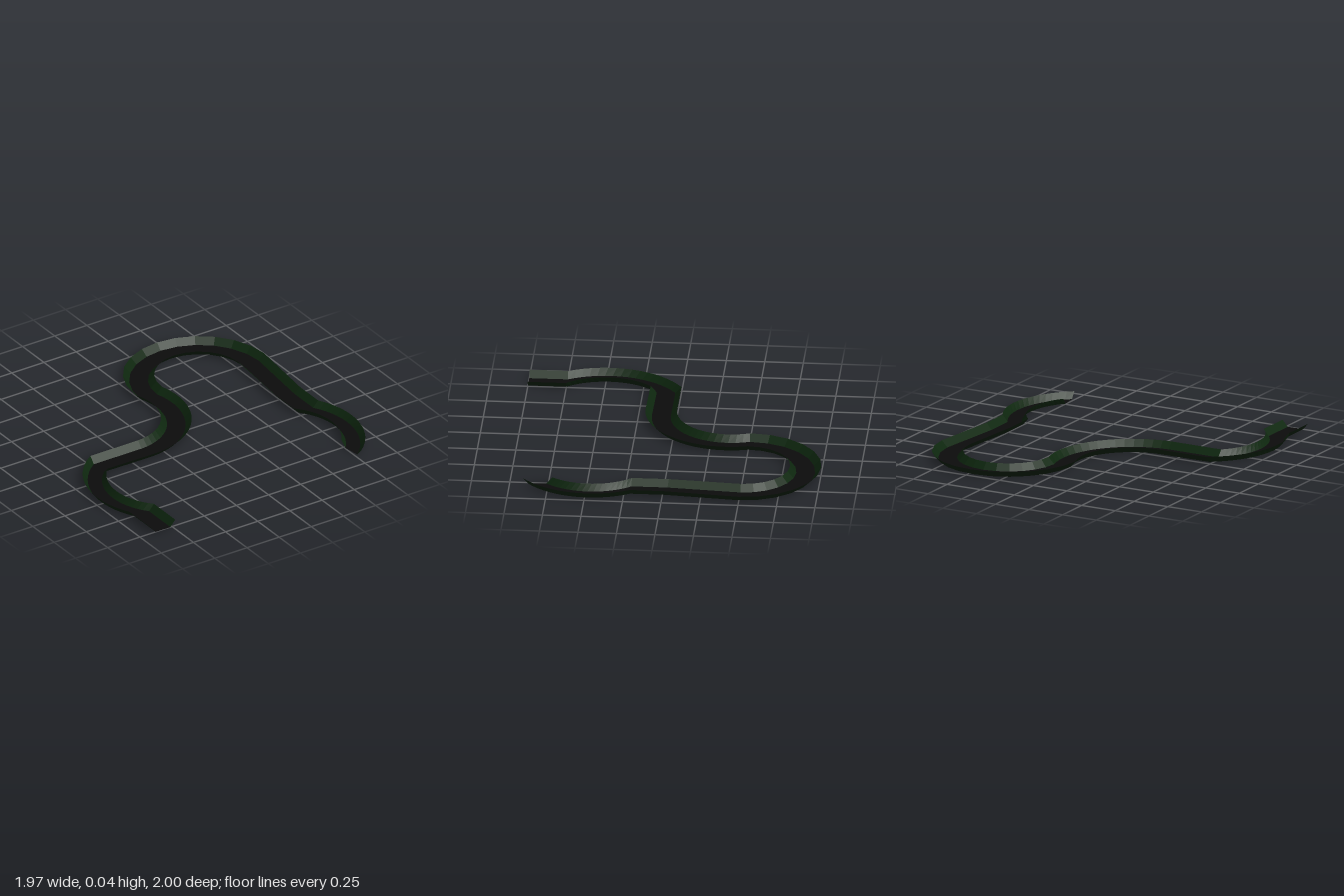
import * as THREE from 'three';

const HEIGHT = 0.043;
const INSET = 0.2; // share of the width taken by each sloping wall

const floorMat = new THREE.MeshStandardMaterial({ color: 0x0c0c0c, side: THREE.DoubleSide, flatShading: true });
const wallMat = new THREE.MeshStandardMaterial({ color: 0x0d260e, side: THREE.DoubleSide, flatShading: true });

// Points [x, z] on the circle arc from a through m to b
function arc(a, m, b, n) {
  const d = 2 * (a[0] * (m[1] - b[1]) + m[0] * (b[1] - a[1]) + b[0] * (a[1] - m[1]));
  const q = (p) => p[0] * p[0] + p[1] * p[1];
  const cx = (q(a) * (m[1] - b[1]) + q(m) * (b[1] - a[1]) + q(b) * (a[1] - m[1])) / d;
  const cz = (q(a) * (b[0] - m[0]) + q(m) * (a[0] - b[0]) + q(b) * (m[0] - a[0])) / d;
  const angle = (p) => Math.atan2(p[1] - cz, p[0] - cx);
  const turn = (t) => (t + 4 * Math.PI) % (2 * Math.PI);
  const start = angle(a), r = Math.hypot(a[0] - cx, a[1] - cz);
  let sweep = turn(angle(b) - start);
  if (turn(angle(m) - start) > sweep) sweep -= 2 * Math.PI;
  return Array.from({ length: n + 1 }, (_, i) => {
    const t = start + (sweep * i) / n;
    return [cx + r * Math.cos(t), cz + r * Math.sin(t)];
  });
}

// Strip of quads between two rails of [x, y, z] points, facing up
function strip(left, right, material, name) {
  const pos = [], index = [];
  left.forEach((p, i) => {
    pos.push(...p, ...right[i]);
    if (i) {
      const k = 2 * i;
      index.push(k - 2, k - 1, k, k - 1, k + 1, k);
    }
  });
  const geo = new THREE.BufferGeometry();
  geo.setAttribute('position', new THREE.Float32BufferAttribute(pos, 3));
  geo.setIndex(index);
  geo.computeVertexNormals();
  const mesh = new THREE.Mesh(geo, material);
  mesh.name = name;
  return mesh;
}

// Channel piece: flat floor between two outward sloping walls
function channel(name, left, right) {
  const rail = (t, y) => left.map(([x, z], i) => [
    x + (right[i][0] - x) * t, y, z + (right[i][1] - z) * t,
  ]);
  const lt = rail(0, HEIGHT), lb = rail(INSET, 0), rb = rail(1 - INSET, 0), rt = rail(1, HEIGHT);
  const piece = new THREE.Group();
  piece.name = name;
  piece.add(
    strip(lt, lb, wallMat, 'leftWall'),
    strip(lb, rb, floorMat, 'floor'),
    strip(rb, rt, wallMat, 'rightWall'),
  );
  return piece;
}

export function createModel() {
  const track = new THREE.Group();
  track.name = 'track';
  track.add(
    channel('startStraight',
      [[-0.915, 1], [-0.915, 0.75]],
      [[-0.725, 1], [-0.725, 0.75]]),
    channel('firstBend',
      arc([-0.915, 0.75], [-0.985, 0.48], [-0.72, 0], 16),
      arc([-0.725, 0.75], [-0.835, 0.48], [-0.72, 0.2], 16)),
    channel('crossStraight',
      [[-0.72, 0], [-0.35, 0]],
      [[-0.72, 0.2], [-0.35, 0.205]]),
    channel('sweepingBend',
      arc([-0.35, 0], [-0.11, -0.105], [-0.035, -0.5], 16),
      arc([-0.35, 0.205], [0.027, 0.042], [0.168, -0.5], 16)),
    channel('hairpin',
      arc([-0.035, -0.5], [0.463, -1], [0.961, -0.5], 12),
      arc([0.168, -0.5], [0.463, -0.797], [0.758, -0.5], 12)),
    channel('returnStraight',
      [[0.961, -0.5], [0.91, 0], [0.91, 0.21]],
      [[0.758, -0.5], [0.72, -0.03], [0.72, 0.21]]),
    channel('lastBend',
      arc([0.91, 0.21], [0.985, 0.49], [0.775, 0.915], 16),
      arc([0.72, 0.21], [0.832, 0.49], [0.75, 0.725], 16)),
  );
  return track;
}
